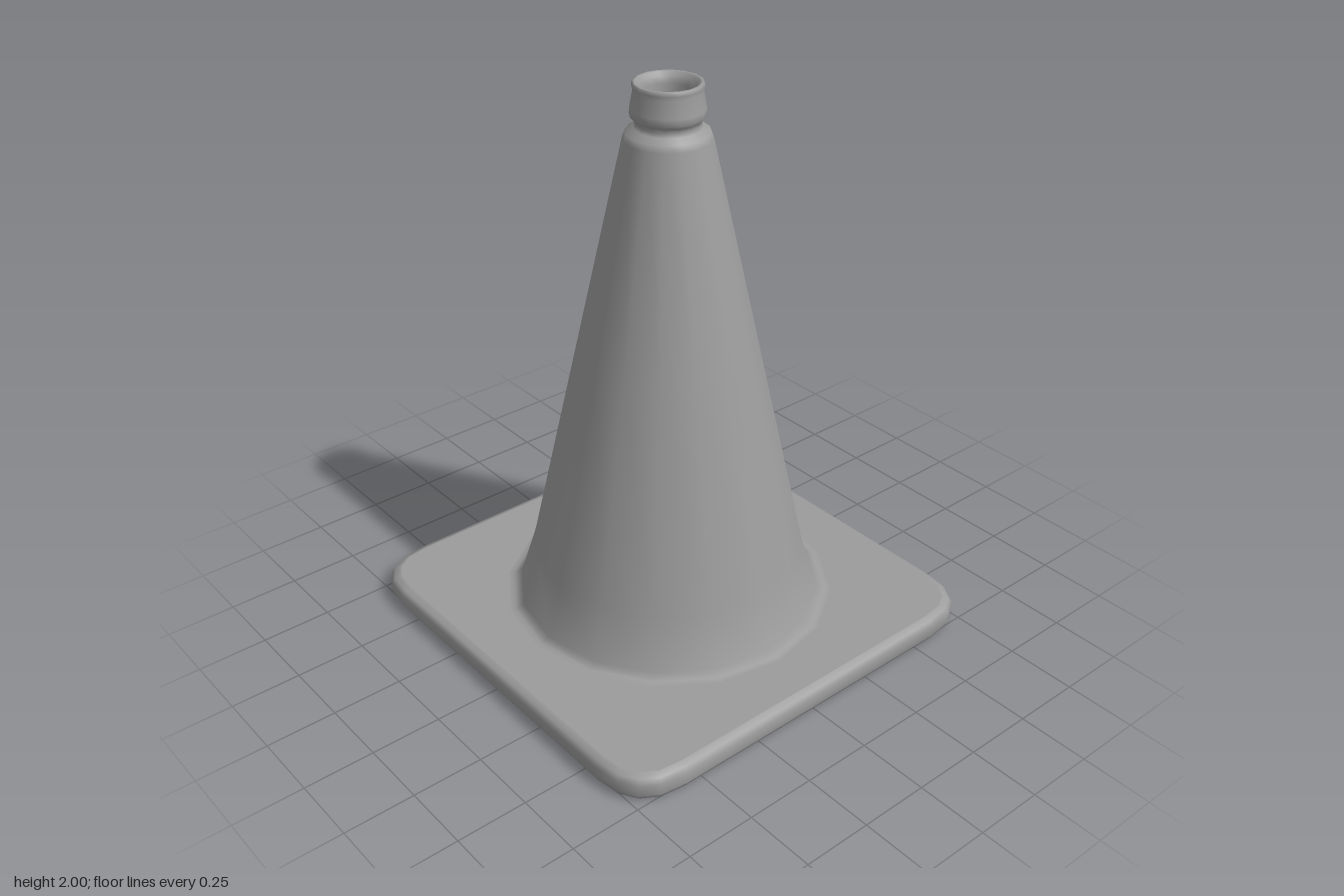
import * as THREE from 'three';

const SIDES = 16;
const HOLE = 0.505;
const material = new THREE.MeshStandardMaterial({ color: 0x9c9c9c });

// Square outline with slightly squarish rounded corners, pulled in by an inset
function outline(inset) {
  const half = 0.78, radius = 0.21, points = [];
  const bend = (v) => Math.sign(v) * Math.pow(Math.abs(v), 0.8);
  for (let k = 0; k < 4; k++) {
    const mid = (k + 0.5) * Math.PI / 2;
    const cx = Math.sign(Math.cos(mid)) * (half - radius);
    const cz = Math.sign(Math.sin(mid)) * (half - radius);
    for (let i = 0; i <= 4; i++) {
      const a = (k + i / 4) * Math.PI / 2;
      points.push(new THREE.Vector2(
        cx + bend(Math.cos(a)) * (radius - inset),
        cz + bend(Math.sin(a)) * (radius - inset)));
    }
  }
  return points;
}

// Flat face of the base with the round opening
function basePlate(inset, y, facing) {
  const shape = new THREE.Shape(outline(inset));
  const ring = [];
  for (let i = 0; i < SIDES; i++) {
    const a = -i / SIDES * Math.PI * 2;
    ring.push(new THREE.Vector2(Math.cos(a) * HOLE, Math.sin(a) * HOLE));
  }
  shape.holes.push(new THREE.Path(ring));
  const geometry = new THREE.ShapeGeometry(shape);
  geometry.rotateX(-facing * Math.PI / 2).translate(0, y, 0);
  return geometry;
}

// Rounded edge of the base, lofted through [inset, height] rows
function baseRim(rows) {
  const positions = [], index = [];
  const n = outline(0).length;
  rows.forEach(([inset, y], r) => {
    outline(inset).forEach((p, i) => {
      positions.push(p.x, y, p.y);
      if (r === rows.length - 1) return;
      const a = r * n + i, b = r * n + (i + 1) % n;
      index.push(a, a + n, b, b, a + n, b + n);
    });
  });
  const geometry = new THREE.BufferGeometry();
  geometry.setAttribute('position', new THREE.Float32BufferAttribute(positions, 3));
  geometry.setIndex(index);
  geometry.computeVertexNormals();
  return geometry;
}

export function createModel() {
  const model = new THREE.Group();
  const add = (parent, name, geometry) => {
    const mesh = new THREE.Mesh(geometry, material);
    mesh.name = name;
    parent.add(mesh);
  };

  // Square base
  const base = new THREE.Group();
  base.name = 'base';
  model.add(base);
  const rows = [[0.033, 0], [0.011, 0.008], [0, 0.028], [0, 0.068], [0.011, 0.087], [0.033, 0.095]];
  add(base, 'baseRim', baseRim(rows));
  add(base, 'baseTop', basePlate(0.033, 0.095, 1));
  add(base, 'baseUnderside', basePlate(0.033, 0, -1));

  // Hollow cone: up the outside, over the collar, down the inside
  const profile = [
    [0.59, 0.0952], [0.57, 0.097], [0.54, 0.113], [0.482, 0.3], [0.311, 1.07], [0.146, 1.815],
    [0.138, 1.838], [0.112, 1.852], [0.107, 1.866], [0.112, 1.88], [0.124, 1.893],
    [0.122, 1.915], [0.112, 1.97], [0.116, 1.985], [0.114, 1.997], [0.108, 2], [0.1, 1.997],
    [0.094, 1.985], [0.08, 1.965], [0.08, 1.85], [0.1, 1.8], [0.27, 1.07], [0.442, 0.3],
    [0.495, 0.08], [0.498, 0.012], [HOLE, 0],
  ].map(([x, y]) => new THREE.Vector2(x, y));
  add(model, 'cone', new THREE.LatheGeometry(profile, SIDES));

  return model;
}
